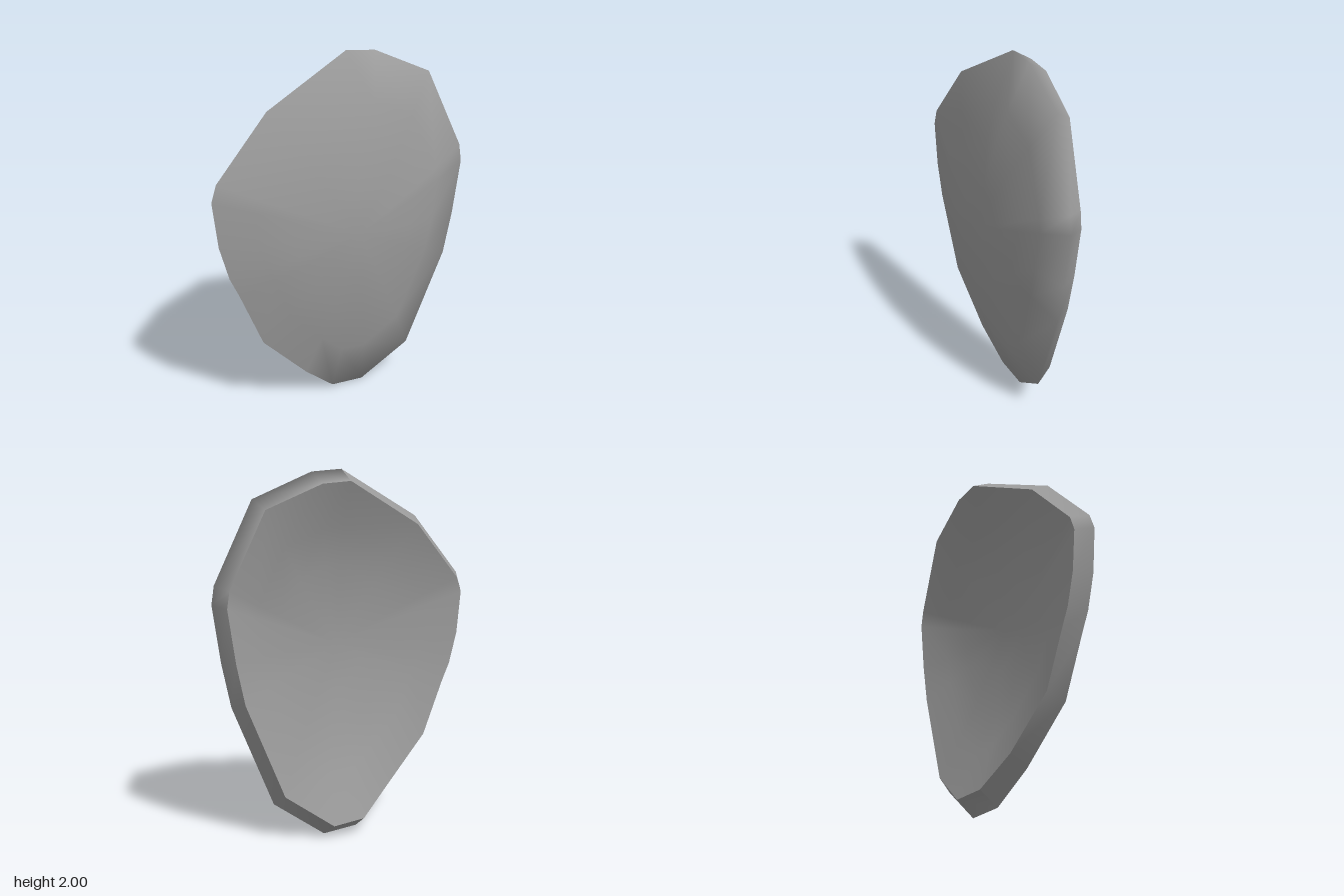
import * as THREE from 'three';

// Front outline, counter-clockwise from the lowest corner
const outline = [
  [0.16, 0], [0.44, 0.2], [0.66, 0.76], [0.71, 1.0], [0.755, 1.31], [0.74, 1.41],
  [0.54, 1.845], [0.22, 1.985], [0.05, 2], [-0.43, 1.75], [-0.725, 1.42], [-0.755, 1.33],
  [-0.73, 1.08], [-0.68, 0.89], [-0.63, 0.78], [-0.5, 0.46], [-0.23, 0.18], [-0.04, 0.015],
];
const count = outline.length;
const centre = [0.03, 1.05];
const rings = [0.25, 0.5, 0.73, 1];

// Rims bend backwards towards the top and bottom
const frontRimZ = (y) => 0.037 - 0.077 * Math.pow(y - 1, 4);
const backRimZ = (y) => -0.055 - 0.1 * Math.pow(Math.abs(y - 1.01) / 0.94, 5);

export function createModel() {
  const positions = [];
  const index = [];
  const addVertex = (x, y, z) => positions.push(x, y, z) / 3 - 1;

  // A shallow dome of rings that eases into its rim; returns the ids of the rim
  function addFace(points, rimZ, centreZ, flip) {
    const tri = (a, b, c) => (flip ? index.push(a, c, b) : index.push(a, b, c));
    const dome = (dx, dy) => centreZ - 0.2 * (dx * dx + dy * dy);
    const hub = addVertex(centre[0], centre[1], centreZ);
    let inner = null;
    for (const t of rings) {
      const ring = points.map(([x, y]) => {
        const dx = x - centre[0];
        const dy = y - centre[1];
        const ease = (rimZ(y) - dome(dx, dy)) * Math.pow(t, 4);
        return addVertex(centre[0] + dx * t, centre[1] + dy * t, dome(dx * t, dy * t) + ease);
      });
      for (let i = 0; i < count; i++) {
        const j = (i + 1) % count;
        if (!inner) tri(hub, ring[i], ring[j]);
        else {
          tri(inner[i], ring[i], ring[j]);
          tri(inner[i], ring[j], inner[j]);
        }
      }
      inner = ring;
    }
    return inner;
  }

  // Convex front and smaller hollow back
  const backOutline = outline.map(([x, y]) => [x * 0.93, 1.1 + (y - 1.1) * 0.93]);
  const frontRim = addFace(outline, frontRimZ, 0.155, false);
  addFace(backOutline, backRimZ, 0.055, true);

  // Slanted edge band: blends into the front on one side, creased on the other
  const copyRim = (points, rimZ) => points.map(([x, y]) => addVertex(x, y, rimZ(y)));
  const softBack = copyRim(backOutline, backRimZ);
  const hardFront = copyRim(outline, frontRimZ);
  const hardBack = copyRim(backOutline, backRimZ);
  for (let i = 0; i < count; i++) {
    const j = (i + 1) % count;
    const soft = i < 8 || i === count - 1;
    const f = soft ? frontRim : hardFront;
    const b = soft ? softBack : hardBack;
    index.push(f[i], b[i], b[j], f[i], b[j], f[j]);
  }

  const geometry = new THREE.BufferGeometry();
  geometry.setAttribute('position', new THREE.Float32BufferAttribute(positions, 3));
  geometry.setIndex(index);
  geometry.computeVertexNormals();

  const plate = new THREE.Mesh(geometry, new THREE.MeshStandardMaterial({ color: 0x9b9b9b }));
  plate.name = 'curvedPlate';
  const group = new THREE.Group();
  group.name = 'plate';
  group.add(plate);
  return group;
}
